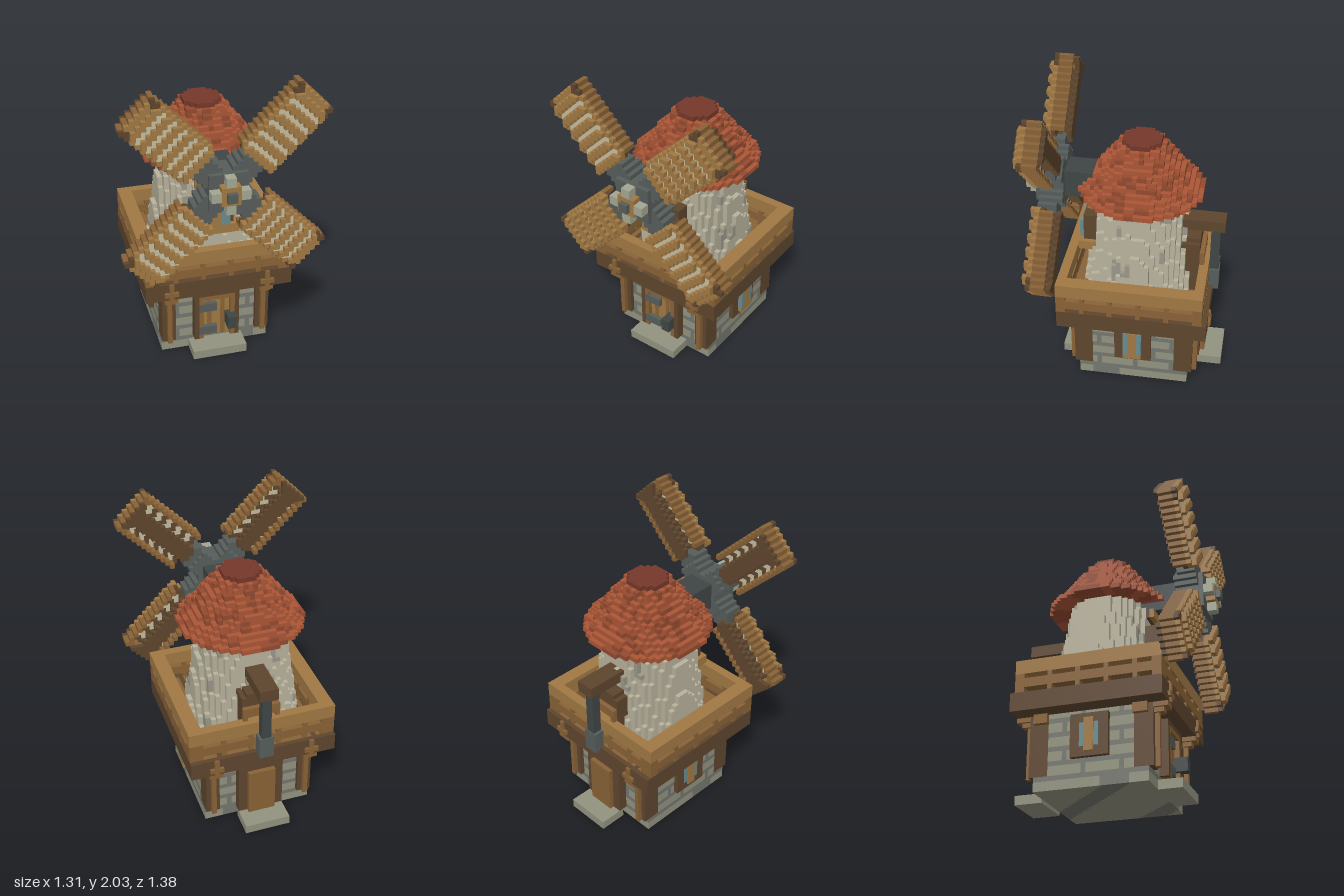
import * as THREE from 'three';

const V = 1 / 32; // size of one block
const CZ = -3; // building axis in z
const C = {
  wood: 0xa07843, mid: 0x886236, dark: 0x5e452d, stone: 0x92927f, mortar: 0x73766d,
  plaster: 0xb8b29c, plasterGrey: 0x9a9889, red: 0xab5636, redDark: 0x944a2f, cap: 0x753729,
  iron: 0x565d5b, ironDark: 0x3f4545, pale: 0xa3a692, glass: 0x688a8e, cloth: 0xc2bc9e,
};
const mats = {};
const mat = (c) => (mats[c] ??= new THREE.MeshStandardMaterial({ color: c, flatShading: true }));
const hash = (a, b) => { const s = Math.sin(a * 12.99 + b * 78.23) * 43758.5; return s - Math.floor(s); };

// Blocks with only their outer faces; pick(x, y, z) gives a colour or 0 at a block centre
function blocks(name, [x0, x1, y0, y1, z0, z1], pick) {
  const at = (x, y, z) => x < x0 || x >= x1 || y < y0 || y >= y1 || z < z0 || z >= z1
    ? 0 : pick(x + 0.5, y + 0.5, z + 0.5);
  const byColor = new Map();
  const p = [0, 0, 0];
  for (p[0] = x0; p[0] < x1; p[0]++) for (p[1] = y0; p[1] < y1; p[1]++) for (p[2] = z0; p[2] < z1; p[2]++) {
    const c = at(...p);
    if (!c) continue;
    if (!byColor.has(c)) byColor.set(c, []);
    const out = byColor.get(c);
    for (let a = 0; a < 3; a++) for (const s of [0, 1]) {
      const n = [...p];
      n[a] += s ? 1 : -1;
      if (at(...n)) continue;
      const corner = (i, j) => {
        const q = [...p];
        q[a] += s; q[(a + 1) % 3] += i; q[(a + 2) % 3] += j;
        return q;
      };
      const [A, B, D, E] = [corner(0, 0), corner(1, 0), corner(1, 1), corner(0, 1)];
      out.push(...(s ? [A, B, D, A, D, E] : [A, D, B, A, E, D]).flat());
    }
  }
  const group = new THREE.Group();
  group.name = name;
  for (const [c, pts] of byColor) {
    const g = new THREE.BufferGeometry();
    g.setAttribute('position', new THREE.Float32BufferAttribute(pts, 3));
    g.computeVertexNormals();
    const m = new THREE.Mesh(g, mat(c));
    m.name = name + 'Blocks';
    group.add(m);
  }
  return group;
}

function box(name, color, x0, x1, y0, y1, z0, z1) {
  const m = new THREE.Mesh(new THREE.BoxGeometry(x1 - x0, y1 - y0, z1 - z0), mat(color));
  m.position.set((x0 + x1) / 2, (y0 + y1) / 2, (z0 + z1) / 2);
  m.name = name;
  return m;
}

export function createModel() {
  const root = new THREE.Group();
  root.name = 'windmill';
  const add = (...parts) => root.add(...parts);

  // Brick base with flush wooden corner posts
  add(blocks('base', [-12, 12, 0, 16, -15, 9], (x, y, z) => {
    if (y > 3 && Math.abs(x) > 9 && (z > 6 || z < -12)) return C.dark;
    if (y < 2) return (Math.floor((x + z + 60) / 6) % 4) ? C.stone : C.mortar;
    const row = Math.floor(y / 3);
    const along = Math.floor(x + z + 60 + (row % 2) * 4) % 8;
    return Math.floor(y) % 3 === 2 || along === 0 ? C.mortar : C.stone;
  }));
  add(box('frontStep', C.stone, -6, 6, 0, 2, 9, 14), box('backStep', C.stone, -5, 5, 0, 2, -22, -16));

  // Raised posts and stepped brackets at the corners
  for (const s of [-1, 1]) for (const [z, d] of [[9, 1], [-15, -1]]) {
    const piece = (n, c, a, b, y0, y1, t0, t1) => {
      const xs = [s * a, s * b].sort((p, q) => p - q), zs = [z + d * t0, z + d * t1].sort((p, q) => p - q);
      add(box(n, c, xs[0], xs[1], y0, y1, zs[0], zs[1]));
    };
    piece('cornerPost', C.dark, 9, 12, 3, 16, 0, 1);
    piece('postStrip', C.mid, 10, 11, 3, 14, 1, 2);
    piece('bracketLower', C.mid, 9.5, 11.5, 14, 15, 1, 3);
    piece('bracketUpper', C.mid, 9, 12, 15, 16, 1, 4);
    piece('bracketInner', C.dark, 8, 9, 14, 16, 0, 1);
    // brackets on the side walls, inward from the post
    piece('sideBracket', C.mid, 12, 13, 14, 16, -3, 0);
    piece('beamEnd', C.mid, 9, 12, 17, 18, 4, 4.6);
    piece('beamEndCentre', C.mid, 10, 11, 16, 20, 4, 4.5);
  }

  // Front door
  add(blocks('frontDoor', [-5, 5, 3, 15, 9, 13], (x, y, z) => {
    const ax = Math.abs(x);
    if (ax > 4 || y > 14) return z < 11 ? C.dark : 0;
    if (z < 10) return Math.floor(x + 20) % 3 === 0 ? C.mid : C.wood;
    if (z < 11 && x < 0 && ((y > 4 && y < 6) || (y > 10 && y < 12))) return C.iron;
    if (x > 2 && y > 6 && y < 9) return C.ironDark;
    return z < 11 && (ax > 3 || y > 13) ? C.mid : 0;
  }));
  // Back door
  add(blocks('backDoor', [-5, 5, 2, 15, -18, -15], (x, y, z) => {
    if (Math.abs(x) > 3 || y > 13) return z > -17 ? C.dark : 0;
    return C.mid;
  }));

  // Side windows
  for (const s of [-1, 1]) add(blocks('sideWindow', s > 0 ? [12, 14, 6, 15, -7, 1] : [-14, -12, 6, 15, -7, 1], (x, y, z) => {
    const dz = Math.abs(z - CZ);
    if (Math.abs(x) < 13) return C.dark;
    if (s < 0 || y < 7 || y > 14 || dz > 2) return 0;
    return dz < 1 || y < 8 ? C.wood : C.glass;
  }));
  add(box('windowPane', C.glass, -13.2, -13, 8, 13, -5, -1), box('windowBar', C.wood, -13.4, -13, 7, 14, -4, -2));

  // Balcony floor
  add(blocks('balcony', [-16, 16, 16, 20, -19, 13], (x, y, z) => {
    if (y < 19 || Math.abs(x) > 13 || z < -18 || z > 11) return C.dark;
    return (x > -12 && x < -11) || (x > 9 && x < 10) || Math.abs(x) > 12.9 ? C.dark : C.mid;
  }));

  // Railing: top and middle rails with short balusters in the gaps
  add(blocks('railing', [-16, 16, 20, 27, -18, 13], (x, y, z) => {
    const side = Math.abs(x) > 13, end = z > 11 || z < -16;
    if (!side && !end) return 0;
    if (y > 24) return C.wood;
    if (y > 21 && y < 23) return C.mid;
    const t = side && !end ? z + 40.5 : x + 40;
    return (side && end) || Math.floor(t) % 6 < 1 ? C.mid : 0;
  }));

  // Tapered round tower
  add(blocks('tower', [-12, 12, 20, 43, -15, 9], (x, y, z) => {
    const wobble = (hash(Math.floor(x / 2), Math.floor(z / 2)) - 0.5) * 0.5;
    const r = 12 - (y - 20) * 0.145 + wobble;
    if (Math.hypot(x, z - CZ) > r) return 0;
    return hash(Math.floor(x / 2) + Math.floor(y / 3) * 7, Math.floor(z / 2)) > 0.94 ? C.plasterGrey : C.plaster;
  }));

  // Stepped round roof
  const radii = [13, 12, 11, 10, 9.2, 8.6, 8, 7.2, 6.4, 5.6, 5, 4.2];
  add(blocks('roof', [-13, 13, 43, 55, -16, 10], (x, y, z) => {
    const i = Math.floor(y) - 43;
    if (Math.hypot(x, z - CZ) > radii[i] + 0.1) return 0;
    if (i === 11) return C.cap;
    return hash(i, Math.floor(Math.atan2(x, z - CZ) * 5)) > 0.65 ? C.redDark : C.red;
  }));

  // Tower window above the front door
  add(blocks('towerWindow', [-5, 5, 29, 37, 5, 10], (x, y, z) => {
    const ax = Math.abs(x);
    if (y < 31) return C.wood;
    if (y > 36) return ax < 4 && z < 9 ? C.dark : 0;
    if (ax > 4) return 0;
    if (ax > 3 || y > 35) return z < 9 ? C.dark : 0;
    return ax < 1 ? C.wood : z > 9 || z < 9 ? C.glass : 0;
  }));

  // Tower door onto the balcony
  add(blocks('towerDoor', [-4, 4, 20, 33, -17, -11], (x, y, z) => {
    const ax = Math.abs(x);
    if (z < -16) return (ax < 3 && y < 30 && y > 28) || (ax > 3 && y < 30) ? C.mid : 0;
    if (ax < 2.5 && y < 30) return z > -15 ? C.mid : 0;
    return ax > 3 && y > 32 ? 0 : C.dark;
  }));

  // Hoist
  add(box('hoistBeam', C.dark, -2, 2, 34.5, 37, -21, -10));
  add(box('hoistRope', C.ironDark, -1, 1, 24, 34.5, -20, -18));
  add(box('hoistWeight', C.iron, -1.6, 1.6, 19, 24, -20.2, -17.9));

  // Sail shaft, its support and the hub
  add(blocks('shaft', [-3, 3, 41, 47, 4, 13], () => C.ironDark));
  add(box('shaftSupport', C.dark, -3, 3, 39.5, 41, 4, 7), box('shaftSupportBeam', C.wood, -4, 4, 39, 41, 7, 8));
  add(blocks('hub', [-7, 7, 37, 51, 13, 22], (x, y, z) => {
    const dy = y - 44, ax = Math.abs(x), ay = Math.abs(dy);
    const u = (ax + ay) / Math.SQRT2, w = Math.abs(ax - ay) / Math.SQRT2;
    if (z > 21) return ax < 1 && ay < 1 ? C.iron : 0;
    if (z > 19) {
      if (ax < 2 && ay < 2) return C.wood;
      return (ax < 4 && ay < 1) || (ay < 4 && ax < 1) ? C.pale : 0;
    }
    if (ax < 3 && ay < 3) return C.iron;
    if (z > 18) return ax < 4 && ay < 4 ? C.iron : 0;
    if (u < 9 && w < 2.2) return z < 14 && u > 6 ? 0 : C.iron;
    return 0;
  }));

  // Four diagonal sails: rim, cross slats, cloth between, spine behind
  for (const sx of [-1, 1]) for (const sy of [-1, 1]) {
    const sail = blocks('sail', [0, 22, 0, 22, 13, 19], (x, y, z) => {
      const u = (x + y) / Math.SQRT2, w = Math.abs(x - y) / Math.SQRT2;
      if (u < 8.3 || u > 25.1 || w > 4.9) return 0;
      const slat = (u - 8.3) % 2.8 < 1.5;
      const rim = w > 3.6 || u > 23.6;
      if (z < 14) return w < 1.5 || u > 23.8 && w < 3 ? C.dark : 0;
      if (z < 16) return rim ? C.mid : w < 1.2 ? C.dark : 0;
      if (z < 17) return rim ? C.mid : slat ? C.dark : C.cloth;
      if (z < 18) return rim ? (u > 23.2 && w > 3.2 ? C.dark : C.wood) : slat ? C.wood : C.cloth;
      return slat && w < 3.6 ? C.wood : 0;
    });
    // quarter turns keep the face winding
    const turn = new THREE.Group();
    turn.name = 'sailArm';
    turn.rotation.z = Math.atan2(sy, sx) - Math.PI / 4;
    turn.position.y = 44;
    turn.add(sail);
    add(turn);
  }

  root.scale.setScalar(V);
  const model = new THREE.Group();
  model.name = 'model';
  model.add(root);
  return model;
}
